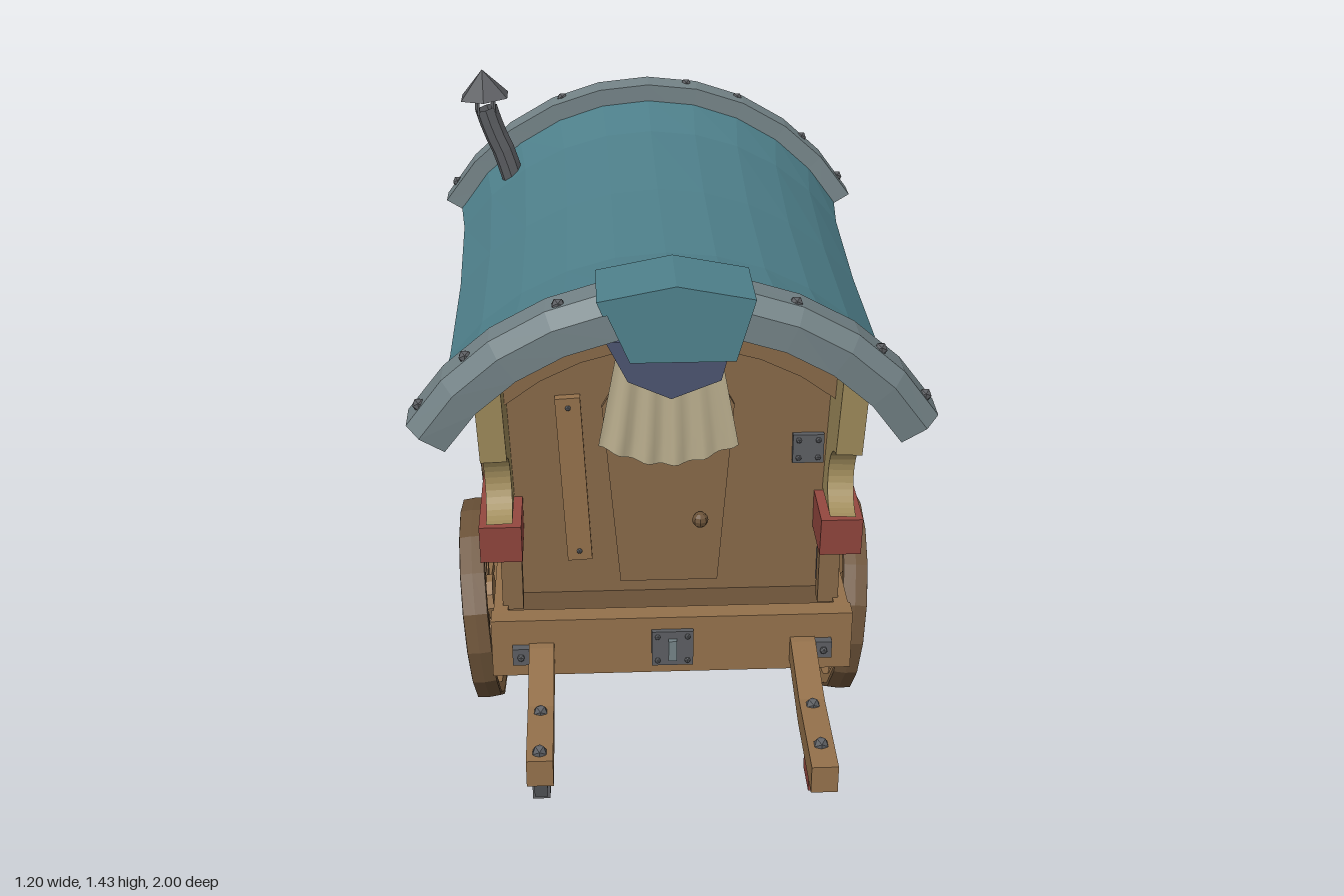
import * as THREE from 'three';

const mat = (color, flatShading = true) => new THREE.MeshStandardMaterial({ color, flatShading, side: THREE.DoubleSide });
const M = {
  wood: mat(0x94714b), wall: mat(0x866848), dark: mat(0x6b5238), cream: mat(0xa08c5c), red: mat(0x94483f),
  blue: mat(0x4b5470), teal: mat(0x4f818c), trim: mat(0x748387), iron: mat(0x5c5e62), cloth: mat(0xb9ad8d, false),
};

function add(parent, name, geo, m, x = 0, y = 0, z = 0, rx = 0, ry = 0, rz = 0) {
  const mesh = new THREE.Mesh(geo, m);
  mesh.name = name;
  mesh.position.set(x, y, z);
  mesh.rotation.set(rx, ry, rz);
  parent.add(mesh);
  return mesh;
}
const box = (w, h, d) => new THREE.BoxGeometry(w, h, d);
const poly = (pts) => new THREE.Shape(pts.map(([x, y]) => new THREE.Vector2(x, y)));
const slab = (shape, depth) => new THREE.ExtrudeGeometry(shape, { depth, bevelEnabled: false, curveSegments: 8 });
// Outline drawn in (z, y), thickness running inward from x = outer
const sideSlab = (shape, outer, d) => slab(shape, d).rotateY(-Math.PI / 2).translate(outer, 0, 0);
const tube = (pts, r, n = 10, sides = 6) =>
  new THREE.TubeGeometry(new THREE.CatmullRomCurve3(pts.map((p) => new THREE.Vector3(...p))), n, r, sides);
const ring = (pts) => new THREE.LatheGeometry(pts.map((p) => new THREE.Vector2(...p)), 16);
const rivet = (parent, x, y, z, r = 0.016) => add(parent, 'rivet', new THREE.IcosahedronGeometry(r, 0), M.iron, x, y, z);

// Point on an arch section; u runs -1..1 across, inset goes inward
function archPoint({ z, w, top, bot, bow = 0 }, u, inset = 0) {
  const h = top - bot, R = (w * w + h * h) / (2 * h), a = u * Math.atan2(w, R - h);
  return [Math.sin(a) * (R - inset), top - R + Math.cos(a) * (R - inset), z + bow * (1 - u * u)];
}

// Solid curved shell lofted through arch sections, from back to front
function archShell(sections, t, n = 10) {
  const pos = [], idx = [], len = 2 * (n + 1);
  for (const s of sections) {
    for (let i = 0; i <= n; i++) pos.push(...archPoint(s, (2 * i) / n - 1, s.bevel));
    for (let i = n; i >= 0; i--) pos.push(...archPoint(s, (2 * i) / n - 1, t));
  }
  for (let s = 0; s < sections.length - 1; s++)
    for (let j = 0; j < len; j++) {
      const k = (j + 1) % len, a = s * len, b = a + len;
      idx.push(a + j, b + j, b + k, a + j, b + k, a + k);
    }
  const f = (sections.length - 1) * len;
  for (let i = 0; i < n; i++) {
    const o = i, p = i + 1, q = len - 2 - i, r = len - 1 - i;
    idx.push(o, p, q, o, q, r, f + o, f + q, f + p, f + o, f + r, f + q);
  }
  const g = new THREE.BufferGeometry();
  g.setAttribute('position', new THREE.Float32BufferAttribute(pos, 3));
  g.setIndex(idx);
  const flat = g.toNonIndexed();
  flat.computeVertexNormals();
  return flat;
}

function makeWheel(r, plateTurn) {
  const g = new THREE.Group(), inner = r - 0.037, o = r - 0.012;
  g.name = 'wheel';
  add(g, 'rim', ring([[inner, -0.026], [o, -0.03], [o, 0.03], [inner, 0.026], [inner, -0.026]]), M.wood, 0, 0, 0, 0, 0, -Math.PI / 2);
  add(g, 'tyre', ring([[o, -0.032], [r - 0.003, -0.03], [r, 0], [r - 0.003, 0.03], [o, 0.032]]), M.dark, 0, 0, 0, 0, 0, -Math.PI / 2);
  for (let i = 0; i < 10; i++) {
    const a = (i / 10) * Math.PI * 2 + 0.15;
    add(g, 'spoke', box(0.025, 0.195, 0.022), M.wood, 0, Math.cos(a) * 0.137, Math.sin(a) * 0.137, a);
  }
  add(g, 'hub', new THREE.CylinderGeometry(0.058, 0.06, 0.056, 10), M.wood, 0, 0, 0, 0, 0, -Math.PI / 2);
  add(g, 'hubPlate', box(0.01, 0.076, 0.076), M.iron, 0.031, 0, 0, plateTurn);
  for (let i = 0; i < 4; i++) {
    const a = plateTurn + Math.PI / 4 + (i * Math.PI) / 2;
    rivet(g, 0.035, Math.cos(a) * 0.036, Math.sin(a) * 0.036, 0.007);
  }
  return g;
}

// Everything that repeats on both long sides, built for +x
function makeSide(wheelX) {
  const g = new THREE.Group();
  g.name = 'side';
  add(g, 'chassisRail', sideSlab(poly([[0.54, 0.29], [0.54, 0.44], [-0.49, 0.46], [-0.57, 0.57], [-0.95, 0.57], [-0.94, 0.3]]), 0.43, 0.035), M.wood);
  add(g, 'lowerPanel', sideSlab(poly([[0.45, 0.43], [0.485, 0.59], [-0.92, 0.62], [-0.9, 0.43]]), 0.408, 0.04), M.blue);
  add(g, 'belt', sideSlab(poly([[0.5, 0.575], [0.51, 0.675], [-0.92, 0.705], [-0.92, 0.61]]), 0.455, 0.1), M.red);
  // Upper wall with a scalloped front edge and a round peephole, leaning slightly outward
  const lean = -0.04, lift = 0.017;
  const wall = new THREE.Shape();
  wall.moveTo(0.51, 0.665);
  wall.absarc(0.51, 0.765, 0.082, -Math.PI / 2, Math.PI / 2, true);
  wall.lineTo(0.525, 1.05);
  wall.lineTo(-0.91, 1.05);
  wall.lineTo(-0.9, 0.69);
  wall.holes.push(new THREE.Path().absarc(-0.195, 0.82, 0.042, 0, Math.PI * 2, false));
  add(g, 'upperWall', sideSlab(wall, 0.41, 0.062), M.cream, 0, lift, 0, 0, 0, lean);
  for (const [z, s] of [[0.165, -1], [-0.56, 1]]) {
    add(g, 'post', box(0.035, 0.38, 0.11), M.red, 0.444, 0.85, z, 0, 0, lean);
    for (const y of [0.76, 0.905]) {
      const h = poly([[0, -0.022], [0, 0.022], [s * 0.05, 0.01], [s * 0.1, 0.018], [s * 0.1, -0.012], [s * 0.05, -0.01]]);
      add(g, 'hinge', sideSlab(h, 0.472, 0.025), M.iron, 0, y, z + s * 0.03);
    }
  }
  // Pair of shutters notched around the peephole
  for (const s of [1, -1]) {
    const sh = new THREE.Shape(), c = -0.195 + s * 0.003, e = s > 0 ? 0.11 : -0.505;
    sh.moveTo(c, 0.7);
    sh.lineTo(e, 0.7);
    sh.lineTo(e, 0.965);
    sh.lineTo(c, 0.965);
    sh.absarc(c, 0.82, 0.042, Math.PI / 2, -Math.PI / 2, s > 0);
    add(g, 'shutter', sideSlab(sh, 0.418, 0.012), M.cream, 0, lift, 0, 0, 0, lean);
  }
  add(g, 'porchPost', box(0.05, 0.16, 0.04), M.wall, 0.383, 0.51, 0.46);
  for (const [y, z, r, turn] of [[0.267, 0.16, 0.264, 0.05], [0.277, -0.72, 0.274, 0.4]]) {
    const w = makeWheel(r, turn);
    w.position.set(wheelX, y, z);
    w.rotation.z = -0.075;
    g.add(w);
  }
  return g;
}

// Shaft with bolts and a hanging shackle; end is the z of its tip
function makeShaft(x, end, tone) {
  const g = new THREE.Group();
  g.name = 'shaft';
  const outline = poly([[0.5, 0.31], [0.5, 0.38], [0.57, 0.375], [0.75, 0.335], [end, 0.33], [end, 0.262], [0.75, 0.27], [0.57, 0.31]]);
  add(g, 'bar', sideSlab(outline, 0.03, 0.06), M.wood);
  for (const z of [0.77, 0.92]) rivet(g, 0, 0.333, z, 0.018);
  for (const z of [-0.06, 0.06]) add(g, 'shackleStrap', box(0.03, 0.075, 0.02), M.iron, 0, 0.235, 0.845 + z, z * 5);
  add(g, 'shacklePin', box(0.04, 0.035, 0.09), tone, 0, 0.198, 0.845);
  add(g, 'shaftBracket', box(0.04, 0.045, 0.03), M.iron, Math.sign(x) * 0.05, 0.35, 0.555);
  rivet(g, Math.sign(x) * 0.05, 0.35, 0.572, 0.01);
  g.position.x = x;
  return g;
}

// End wall with an overhanging arched head board; wall face at z = 0
function makeEndWall(name, overhang, height) {
  const g = new THREE.Group();
  g.name = name;
  const top = { z: 0, w: 0.39, top: height, bot: height - 0.145 }, low = { z: 0, w: 0.39, top: 1.1, bot: 0.955 };
  const arc = (s) => Array.from({ length: 9 }, (_, i) => archPoint(s, 1 - i / 4));
  add(g, 'wall', slab(poly([[-0.39, 0.4], [0.39, 0.4], ...arc(top)]), 0.04), M.wall, 0, 0, -0.04);
  add(g, 'headBoard', slab(poly([...arc(low).reverse(), ...arc(top)]), overhang), M.wall);
  return g;
}
const nailedPlank = (g, w, h, x, y, z, rot) => {
  const p = add(g, 'plank', box(w, h, 0.022), M.wood, x, y, z, 0, 0, rot);
  for (const s of [-1, 1]) w > h ? rivet(p, s * (w / 2 - 0.025), 0, 0.01, 0.008) : rivet(p, 0, s * (h / 2 - 0.025), 0.01, 0.008);
};
const boltedPlate = (g, w, h, x, y, z, m = M.iron) => {
  add(g, 'plate', box(w, h, 0.015), m, x, y, z);
  for (const a of [-1, 1]) for (const b of [-1, 1]) rivet(g, x + a * (w / 2 - 0.014), y + b * (h / 2 - 0.014), z + 0.008, 0.008);
};

export function createModel() {
  const root = new THREE.Group();
  root.name = 'wagon';
  const left = makeSide(0.458), right = makeSide(0.475);
  right.scale.x = -1;
  root.add(left, right, makeShaft(0.315, 1, M.red), makeShaft(-0.315, 0.95, M.iron));

  // Chassis
  add(root, 'floor', box(0.8, 0.1, 1.46), M.dark, 0, 0.355, -0.2);
  add(root, 'frontBoard', box(0.87, 0.155, 0.05), M.wood, 0, 0.363, 0.525);
  add(root, 'backBoard', slab(poly([[-0.43, 0.3], [0.43, 0.3], [0.43, 0.57], [0.36, 0.57], [0.27, 0.47], [-0.27, 0.46], [-0.36, 0.57], [-0.43, 0.57]]), 0.04), M.wood, 0, 0, -0.955);
  boltedPlate(root, 0.1, 0.095, 0, 0.36, 0.555);
  add(root, 'latch', box(0.02, 0.055, 0.02), M.trim, 0, 0.36, 0.565);

  // Axles with bowed leaf springs
  for (const z of [0.16, -0.72]) {
    add(root, 'axle', new THREE.CylinderGeometry(0.026, 0.026, 0.86, 8), M.iron, 0, 0.26, z, 0, 0, Math.PI / 2);
    for (const [dy, dz] of [[-0.06, 0], [-0.045, 0.05], [-0.045, -0.05], [0.01, 0.065], [0.01, -0.065]])
      add(root, 'leafSpring', tube([[-0.24, 0.25, z], [-0.13, 0.25 + dy * 0.75, z + dz * 0.75], [0, 0.25 + dy, z + dz], [0.13, 0.25 + dy * 0.75, z + dz * 0.75], [0.24, 0.25, z]], 0.007), M.iron);
    for (const x of [-0.28, 0.28]) add(root, 'springClamp', box(0.04, 0.065, 0.065), M.iron, x, 0.26, z);
  }

  // Front wall: door, plank, knob, bracket
  const front = makeEndWall('frontWall', 0.07, 1.225);
  front.position.z = 0.365;
  add(front, 'door', slab(poly([[-0.12, 0.44], [0.12, 0.44], [0.155, 0.92], [0.08, 1.06], [-0.08, 1.06], [-0.16, 0.92]]), 0.012), M.wall);
  nailedPlank(front, 0.06, 0.44, -0.23, 0.73, 0.012, 0.05);
  add(front, 'knob', new THREE.SphereGeometry(0.02, 8, 6), M.dark, 0.075, 0.62, 0.03);
  boltedPlate(front, 0.075, 0.075, 0.335, 0.8, 0.008);
  // Back wall: boarded window
  const back = makeEndWall('backWall', 0.06, 1.25);
  back.position.z = -0.82;
  back.rotation.y = Math.PI;
  add(back, 'windowPane', box(0.32, 0.2, 0.01), M.blue, -0.01, 0.88, 0.003);
  add(back, 'windowCurtain', slab(poly([[-0.15, 0.98], [0.13, 0.98], [0.05, 0.93], [-0.09, 0.94]]), 0.004), M.red, 0, 0, 0.008);
  nailedPlank(back, 0.44, 0.075, -0.01, 0.92, 0.02, 0.03);
  nailedPlank(back, 0.42, 0.075, 0, 0.82, 0.02, -0.06);
  nailedPlank(back, 0.42, 0.06, -0.12, 0.62, 0.02, -0.33);
  boltedPlate(back, 0.07, 0.07, 0.34, 0.74, 0.008);
  boltedPlate(back, 0.19, 0.085, 0.25, 0.375, 0.139, M.cream);
  for (const s of [-1, 1]) add(back, 'reflector', slab(poly([[s * 0.06, 0], [s * 0.015, 0.022], [s * 0.015, -0.022]]), 0.006), M.dark, 0.25, 0.375, 0.144);
  root.add(front, back);

  // Sagging barrel roof and riveted end bows with a bevelled outer edge
  const sec = (z, w, top, bot, bow, bevel) => ({ z, w, top, bot, bow, bevel });
  add(root, 'roof', archShell([sec(-0.91, 0.56, 1.3, 0.985), sec(-0.7, 0.54, 1.265, 0.985), sec(-0.25, 0.525, 1.245, 0.985), sec(0.2, 0.525, 1.24, 0.98), sec(0.4, 0.54, 1.255, 0.975), sec(0.56, 0.57, 1.29, 0.97)], 0.035), M.teal);
  const bows = [
    [sec(-0.972, 0.6, 1.345, 1.01, -0.028, 0.03), sec(-0.94, 0.6, 1.35, 1.01, -0.027), sec(-0.87, 0.6, 1.345, 1.01, -0.025)],
    [sec(0.5, 0.6, 1.325, 0.985, 0.045), sec(0.575, 0.6, 1.325, 0.98, 0.045), sec(0.61, 0.6, 1.325, 0.98, 0.045, 0.035)],
  ];
  for (const b of bows) {
    add(root, 'roofBow', archShell(b, 0.1), M.trim);
    for (const u of [-0.93, -0.7, -0.36, 0.16, 0.38, 0.7, 0.93]) {
      const p = archPoint(b[0], u, 0.004), q = archPoint(b[2], u, 0.004);
      // the hood covers the middle of the front bow
      if (b[0].z < 0 || Math.abs(u) > 0.2) rivet(root, p[0], p[1], (p[2] + q[2]) / 2);
    }
  }

  // Hood over the door, with hanging cloths
  add(root, 'hood', archShell([sec(0.49, 0.17, 1.345, 1.312), sec(0.68, 0.17, 1.345, 1.312)], 0.035, 2), M.teal);
  add(root, 'hoodFlap', slab(poly([[-0.16, 1.31], [-0.1, 1.17], [0.13, 1.17], [0.17, 1.31], [0, 1.335]]), 0.045), M.teal, 0, 0, 0.635);
  add(root, 'valance', slab(poly([[-0.15, 1.13], [-0.1, 1.03], [0, 0.985], [0.115, 1.03], [0.14, 1.13]]), 0.015), M.blue, 0, 0, 0.46);
  const curtain = new THREE.PlaneGeometry(0.32, 0.24, 28, 5), cp = curtain.attributes.position;
  for (let i = 0; i < cp.count; i++) {
    const x = cp.getX(i), v = 0.5 - cp.getY(i) / 0.24;
    cp.setXYZ(i, x * (0.75 + 0.28 * v) - 0.005, cp.getY(i) - v * 0.05 * Math.cos(x * 10), Math.sin(x * 95) * 0.006 * (0.4 + v));
  }
  curtain.computeVertexNormals();
  add(root, 'curtain', curtain, M.cloth, 0, 0.97, 0.447);

  // Bent stovepipe with a pointed cap
  add(root, 'stovepipe', tube([[-0.385, 1.08, -0.75], [-0.42, 1.2, -0.75], [-0.445, 1.26, -0.75], [-0.465, 1.325, -0.75]], 0.032, 6, 8), M.iron);
  for (let i = 0; i < 4; i++) {
    const a = (i * Math.PI) / 2 + 0.6;
    add(root, 'capStrut', box(0.007, 0.07, 0.007), M.iron, -0.467 + Math.cos(a) * 0.032, 1.345, -0.75 + Math.sin(a) * 0.032);
  }
  add(root, 'pipeCap', new THREE.ConeGeometry(0.075, 0.078, 6), M.iron, -0.47, 1.396, -0.75, 0, 0, 0.06);
  return root;
}
